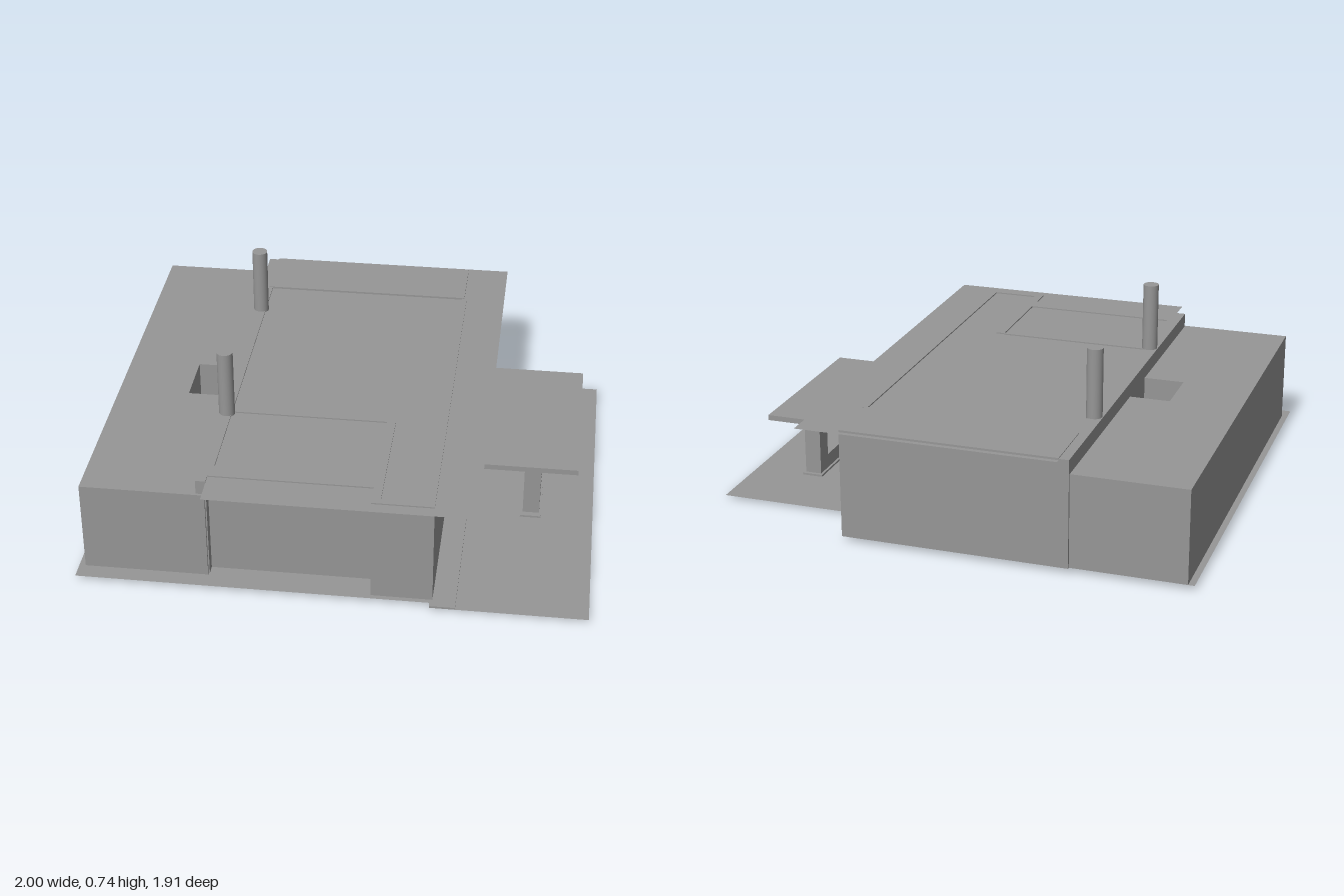
import * as THREE from 'three';

const concrete = new THREE.MeshStandardMaterial({ color: 0x969696, side: THREE.DoubleSide });
concrete.name = 'concrete grey';
const glass = new THREE.MeshStandardMaterial({ color: 0xb2b2ca, side: THREE.DoubleSide });
glass.name = 'pale glass';

export function createModel() {
  const model = new THREE.Group();
  model.name = 'building';

  const add = (name, geometry, material = concrete) => {
    const mesh = new THREE.Mesh(geometry, material);
    mesh.name = name;
    model.add(mesh);
    return mesh;
  };
  // Box given by its extents on each axis
  const box = (name, [x0, x1], [y0, y1], [z0, z1], material) =>
    add(name, new THREE.BoxGeometry(x1 - x0, y1 - y0, z1 - z0), material)
      .position.set((x0 + x1) / 2, (y0 + y1) / 2, (z0 + z1) / 2);
  // Paper-thin horizontal sheet
  const sheet = (name, [x0, x1], y, [z0, z1]) =>
    add(name, new THREE.PlaneGeometry(x1 - x0, z1 - z0).rotateX(-Math.PI / 2))
      .position.set((x0 + x1) / 2, y, (z0 + z1) / 2);

  const floor = 0.022, roofY = 0.453, top = 0.459;

  // Ground: building pad, kerb and lower driveway
  sheet('groundPad', [-1, 0.39], floor, [-0.93, 0.92]);
  box('kerb', [0.39, 0.49], [0.014, floor], [-0.71, 0.94]);
  sheet('driveway', [0.49, 1], 0.014, [-0.71, 0.94]);

  // Low side wing with a light well cut into its inner edge
  const plan = new THREE.Shape([
    [-0.975, -0.93], [-0.52, -0.93], [-0.52, -0.09], [-0.685, -0.09],
    [-0.685, 0.14], [-0.52, 0.14], [-0.52, 0.85], [-0.975, 0.85],
  ].map(([x, z]) => new THREE.Vector2(x, -z)));
  const wing = new THREE.ExtrudeGeometry(plan, { depth: 0.4 - floor, bevelEnabled: false });
  add('sideWing', wing.rotateX(-Math.PI / 2)).position.y = floor;
  box('wingFrontReturn', [-0.52, -0.485], [floor, 0.4], [0.82, 0.85]);

  // Main block: spine wall, hall, rear block and projecting front bay
  box('spineWall', [-0.52, -0.48], [floor, top], [-0.94, 0.84]);
  box('mainHall', [-0.48, 0.4], [floor, roofY], [-0.68, 0.8]);
  box('rearBlock', [-0.48, 0.39], [floor, top + 0.003], [-0.94, -0.68]);
  box('frontBay', [0.16, 0.4], [floor, roofY], [0.8, 0.9]);

  // Overhanging roof sheet
  sheet('roofSheet', [-0.48, 0.565], roofY + 0.001, [-0.96, 0.95]);

  // Wall heads standing just proud of the roof
  [
    [[-0.48, -0.465], [-0.68, 0.8]],
    [[0.38, 0.4], [-0.68, 0.9]],
    [[0.195, 0.4], [0.875, 0.9]],
    [[-0.48, 0.16], [0.73, 0.8]],
    [[0.16, 0.195], [0.335, 0.9]],
    [[-0.48, 0.16], [0.33, 0.345]],
  ].forEach(([x, z]) => box('wallHead', x, [roofY, top], z));

  // Two round chimneys
  for (const z of [-0.49, 0.35]) {
    add('chimney', new THREE.CylinderGeometry(0.032, 0.032, 0.3, 24)).position.set(-0.485, 0.59, z);
  }

  // Entrance canopy on a framed support
  box('canopy', [0.4, 0.93], [0.245, 0.267], [-0.43, 0.315]);
  for (const z of [[-0.4, -0.325], [0.21, 0.28]]) box('canopyPost', [0.715, 0.782], [0.02, 0.245], z);
  box('canopyLowBeam', [0.715, 0.782], [0.02, 0.08], [-0.325, 0.21]);
  box('canopyFoot', [0.705, 0.79], [0, 0.022], [-0.415, 0.305]);

  // Glazed entrance under the canopy
  box('entranceFrame', [0.4, 0.405], [floor, 0.21], [-0.18, 0.145], glass);
  box('entranceGlass', [0.405, 0.408], [floor, 0.195], [-0.17, 0.13], glass);

  return model;
}
